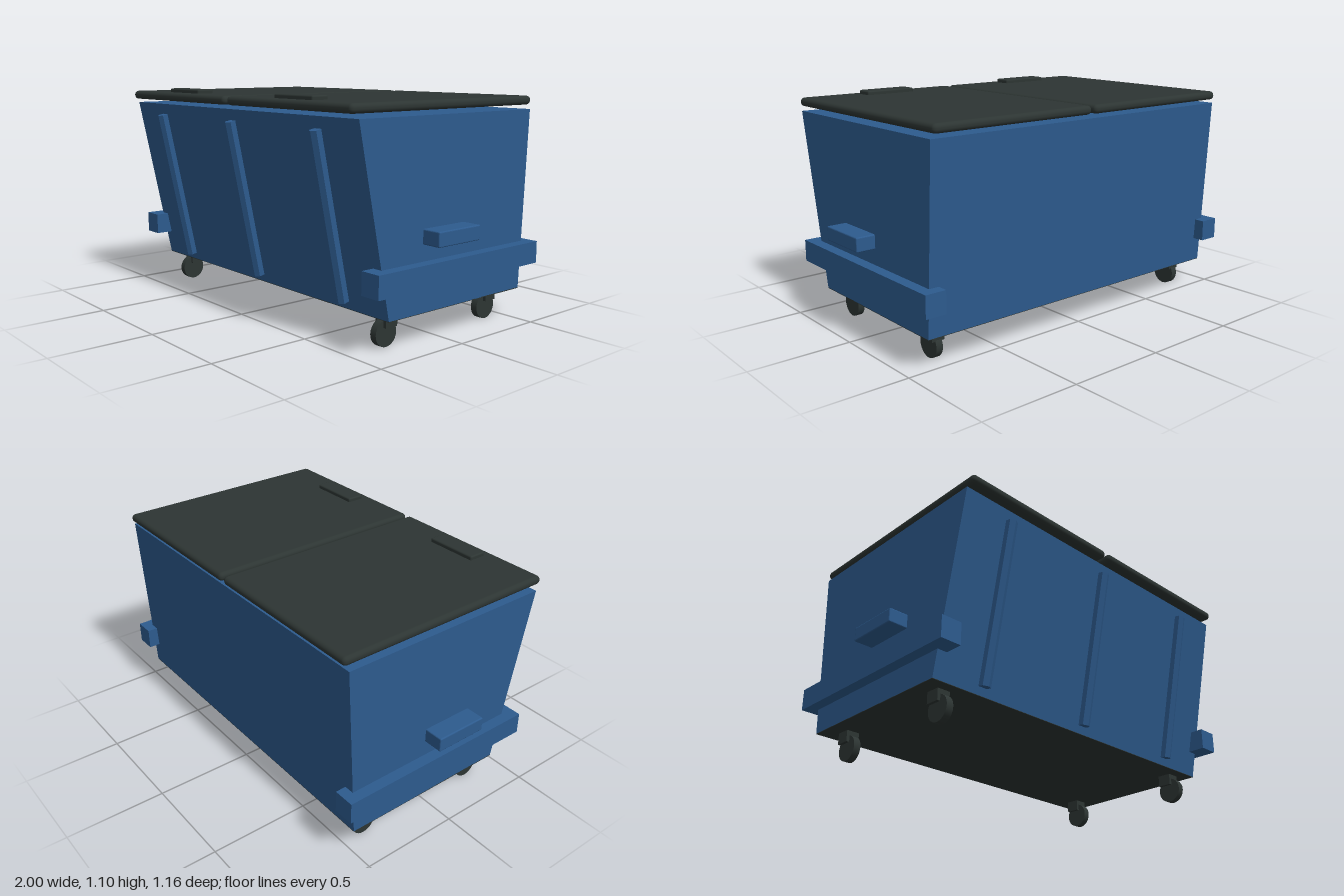
import * as THREE from 'three';
import { RoundedBoxGeometry } from 'three/addons/geometries/RoundedBoxGeometry.js';

export function createModel() {
  const model = new THREE.Group();
  model.name = 'dumpster';

  const blue = new THREE.MeshStandardMaterial({ color: 0x2d5b8e });
  blue.name = 'bluePaint';
  blue.flatShading = true;
  const dark = new THREE.MeshStandardMaterial({ color: 0x2d3533 });
  dark.name = 'darkPlastic';

  function add(name, geometry, material, x, y, z, parent = model) {
    const mesh = new THREE.Mesh(geometry, material);
    mesh.name = name;
    mesh.position.set(x, y, z);
    parent.add(mesh);
    return mesh;
  }

  // Bin: tapered side profile (drawn as -z, y) extruded across the width
  const width = 1.81;
  const profile = new THREE.Shape([
    [-0.365, 0.15], [0.515, 0.15], [0.56, 1.02], [-0.545, 1.02],
  ].map(([x, y]) => new THREE.Vector2(x, y)));
  const binGeometry = new THREE.ExtrudeGeometry(profile, { depth: width, bevelEnabled: false });
  binGeometry.translate(0, 0, -width / 2);
  binGeometry.rotateY(Math.PI / 2);
  add('bin', binGeometry, blue, 0, 0, 0);

  // Dark underside
  add('floorPlate', new THREE.BoxGeometry(width, 0.004, 0.88), dark, 0, 0.1495, -0.075);

  // Six-sided ribs leaning with the front wall
  const ribGeometry = new THREE.CylinderGeometry(0.028, 0.028, 0.794, 6);
  for (const x of [-0.637, 0, 0.637]) {
    add('frontRib', ribGeometry, blue, x, 0.574, 0.469).rotation.x = 0.206;
  }

  const railGeometry = new THREE.BoxGeometry(0.105, 0.107, 1.06);
  const handleGeometry = new RoundedBoxGeometry(0.12, 0.07, 0.268, 2, 0.006);
  const lidGeometry = new RoundedBoxGeometry(0.888, 0.043, 1.16, 3, 0.02);
  const gripGeometry = new RoundedBoxGeometry(0.272, 0.04, 0.09, 2, 0.008);
  const bracketGeometry = new THREE.BoxGeometry(0.066, 0.06, 0.07);
  const wheelGeometry = new THREE.CylinderGeometry(0.063, 0.063, 0.035, 24);
  wheelGeometry.rotateZ(Math.PI / 2);

  for (const side of [-1, 1]) {
    const label = side > 0 ? 'left' : 'right';

    // Lifting rail and side handle
    add(label + 'Rail', railGeometry, blue, side * 0.9075, 0.3285, -0.05);
    add(label + 'Handle', handleGeometry, blue, side * 0.94, 0.493, 0.029);

    // Lid with its raised grip
    add(label + 'Lid', lidGeometry, dark, side * 0.4545, 1.0615, 0);
    add(label + 'LidGrip', gripGeometry, dark, side * 0.4545, 1.083, 0.482);

    // Casters, wheels offset forward of the brackets
    for (const z of [0.275, -0.398]) {
      const caster = new THREE.Group();
      caster.name = label + (z > 0 ? 'Front' : 'Back') + 'Caster';
      caster.position.set(side * 0.798, 0, z);
      model.add(caster);
      add('bracket', bracketGeometry, dark, 0, 0.121, 0, caster);
      add('wheel', wheelGeometry, dark, 0, 0.063, 0.018, caster);
    }
  }
  return model;
}
